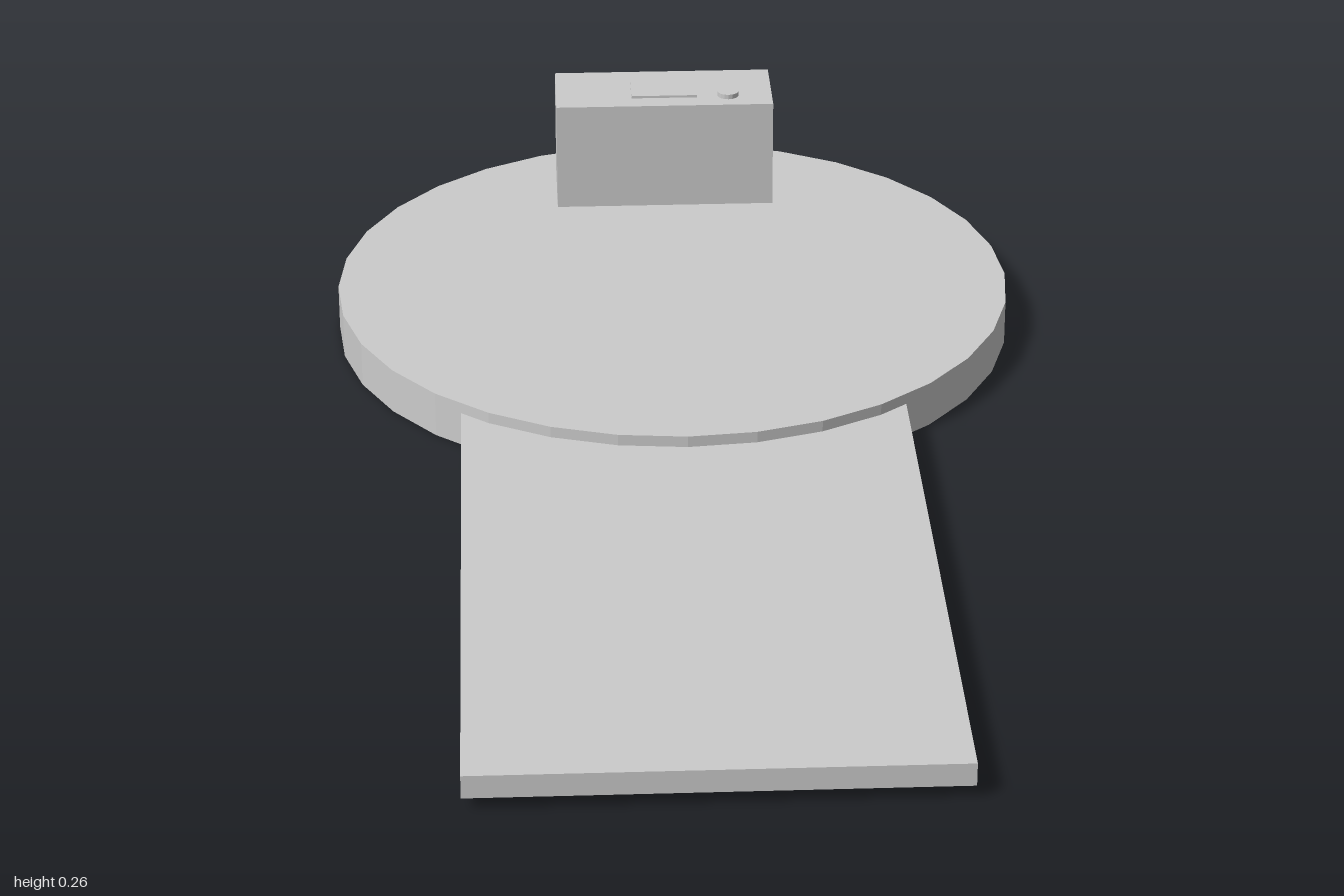
import * as THREE from 'three';

const material = new THREE.MeshStandardMaterial({ color: 0xcccccc, flatShading: true });

export function createModel() {
  const model = new THREE.Group();

  // Adds a named mesh whose underside rests at height y
  const add = (name, geometry, height, x, y, z) => {
    const mesh = new THREE.Mesh(geometry, material);
    mesh.name = name;
    mesh.position.set(x, y + height / 2, z);
    model.add(mesh);
  };
  const box = (name, w, h, d, x, y, z) => add(name, new THREE.BoxGeometry(w, h, d), h, x, y, z);
  const disc = (name, r, h, sides, x, y, z) => add(name, new THREE.CylinderGeometry(r, r, h, sides), h, x, y, z);

  // Round platform and the flat plate that runs into its front
  disc('platform', 0.545, 0.073, 32, 0, 0, -0.455);
  box('plate', 0.69, 0.035, 1.2, 0, 0.02, 0.4);

  // Control box at the back, with a screen and a button on top
  const top = 0.256;
  box('controlBox', 0.364, top - 0.073, 0.147, 0, 0.073, -0.82);
  box('screen', 0.11, 0.004, 0.08, 0, top, -0.82);
  disc('button', 0.018, 0.008, 16, 0.108, top, -0.787);

  return model;
}
